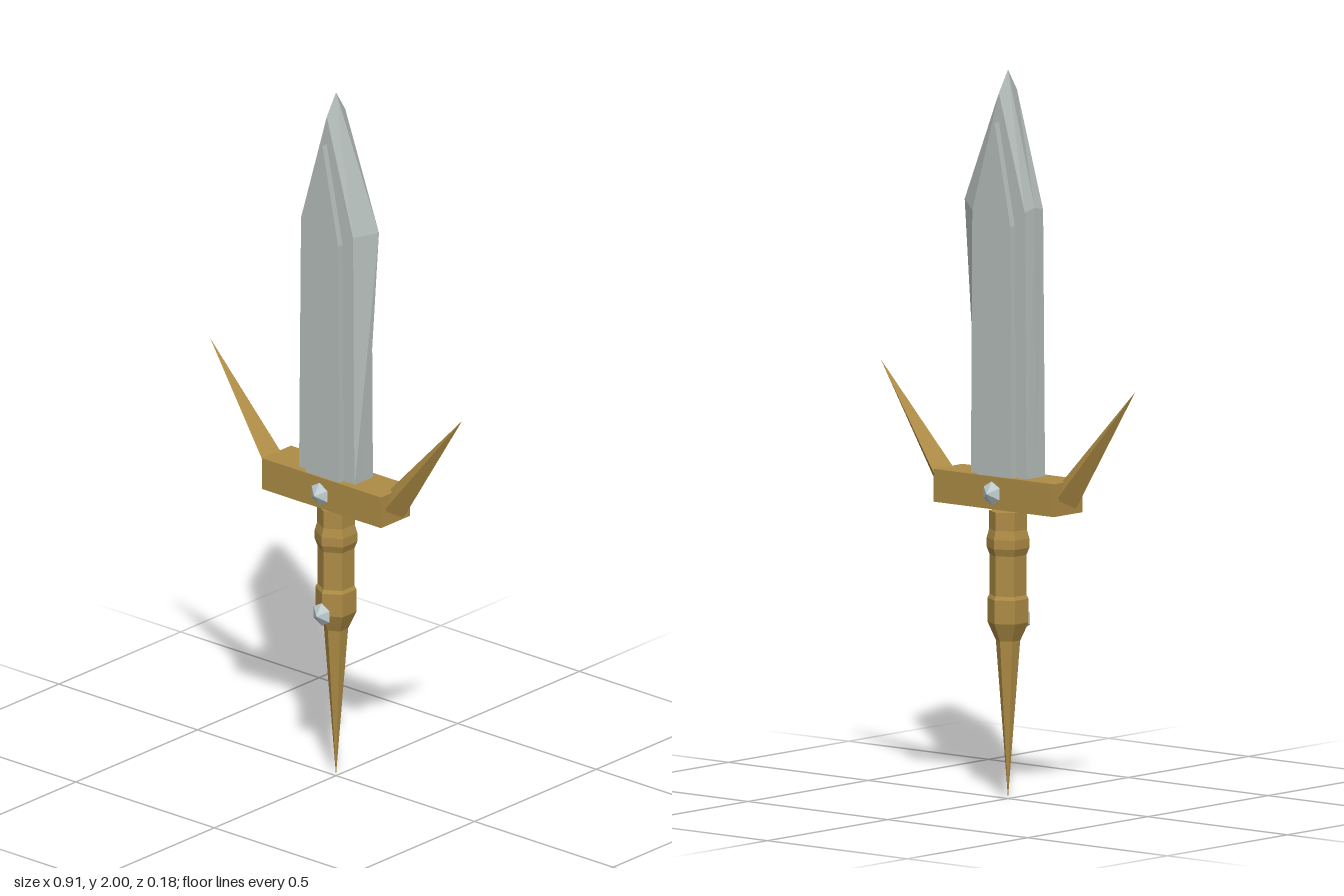
import * as THREE from 'three';

const material = (name, color) => {
  const m = new THREE.MeshStandardMaterial({ color, flatShading: true });
  m.name = name;
  return m;
};

// Closed solid from rings of matching points, first ring facing +z
function loft(rings) {
  const n = rings[0].length, index = [];
  for (let r = 0; r < rings.length - 1; r++) {
    for (let i = 0; i < n; i++) {
      const j = (i + 1) % n, a = r * n, b = a + n;
      index.push(a + i, b + i, b + j, a + i, b + j, a + j);
    }
  }
  const last = (rings.length - 1) * n;
  for (let i = 1; i < n - 1; i++) {
    index.push(0, i, i + 1, last, last + i + 1, last + i);
  }
  const g = new THREE.BufferGeometry();
  g.setAttribute('position', new THREE.Float32BufferAttribute(rings.flat(2), 3));
  g.setIndex(index);
  const flat = g.toNonIndexed();
  flat.computeVertexNormals();
  return flat;
}

// Faceted solid of revolution, profile given from bottom to top
const turned = (profile, sides) =>
  new THREE.LatheGeometry(profile.map(([r, y]) => new THREE.Vector2(r, y)), sides);

export function createModel() {
  const group = new THREE.Group();
  const gold = material('gold', 0xae8c45);
  const steel = material('steel', 0xb6bfbc);
  const crystal = material('crystal', 0xc3d0d4);

  const add = (name, geometry, mat) => {
    const mesh = new THREE.Mesh(geometry, mat);
    mesh.name = name;
    group.add(mesh);
    return mesh;
  };

  // Blade: flat on the right, with a flared cutting edge on the left
  const face = z => [[-0.1, 0.88, z], [0.1, 0.88, z], [0.095, 1.61, z], [0, 1.94, z], [-0.093, 1.62, z]];
  const edge = [[-0.1, 0.88, 0], [0.102, 0.88, 0], [0.155, 1.63, 0], [0, 2, 0], [-0.095, 1.63, 0]];
  add('blade', loft([face(0.038), edge, face(-0.038)]), steel);

  // Raised rib running through both faces of the blade
  const rib = z => [[-0.061, 0.88, z], [0.061, 0.88, z], [0.057, 1.58, z], [0, 1.86, z], [-0.057, 1.58, z]];
  add('bladeRib', loft([rib(0.056), rib(-0.056)]), steel);

  // Crossguard with two upswept horns
  add('crossguard', new THREE.BoxGeometry(0.43, 0.09, 0.12), gold).position.y = 0.845;
  for (const side of [1, -1]) {
    const base = new THREE.Vector3(side * 0.21, 0.845, 0);
    const axis = new THREE.Vector3(side * 0.455, 1.16, 0).sub(base);
    const length = axis.length();
    const geometry = new THREE.ConeGeometry(0.042, length, 4).translate(0, length / 2, 0);
    const horn = add(side > 0 ? 'leftHorn' : 'rightHorn', geometry, gold);
    horn.position.copy(base);
    horn.quaternion.setFromUnitVectors(new THREE.Vector3(0, 1, 0), axis.normalize());
  }

  // Six-sided grip with two collars
  add('grip', turned([
    [0, 0.435], [0.034, 0.435], [0.057, 0.485], [0.057, 0.55], [0.051, 0.56],
    [0.051, 0.67], [0.059, 0.69], [0.059, 0.715], [0.052, 0.74], [0.052, 0.79], [0, 0.79],
  ], 6), gold);

  // Long spike below the grip
  add('pommelSpike', turned([[0, 0], [0.034, 0.44], [0, 0.44]], 6), gold);

  // Cut gems on both sides of the guard and on the front of the pommel
  const gemProfile = [[0, -0.012], [0.014, -0.008], [0.033, 0.007], [0, 0.029]];
  const gem = (name, y, z, facing) => {
    const mesh = add(name, turned(gemProfile, 6), crystal);
    mesh.position.set(0, y, z);
    mesh.rotation.x = facing * Math.PI / 2;
  };
  gem('frontGuardGem', 0.845, 0.061, 1);
  gem('backGuardGem', 0.845, -0.061, -1);
  gem('pommelGem', 0.49, 0.052, 1);

  return group;
}
